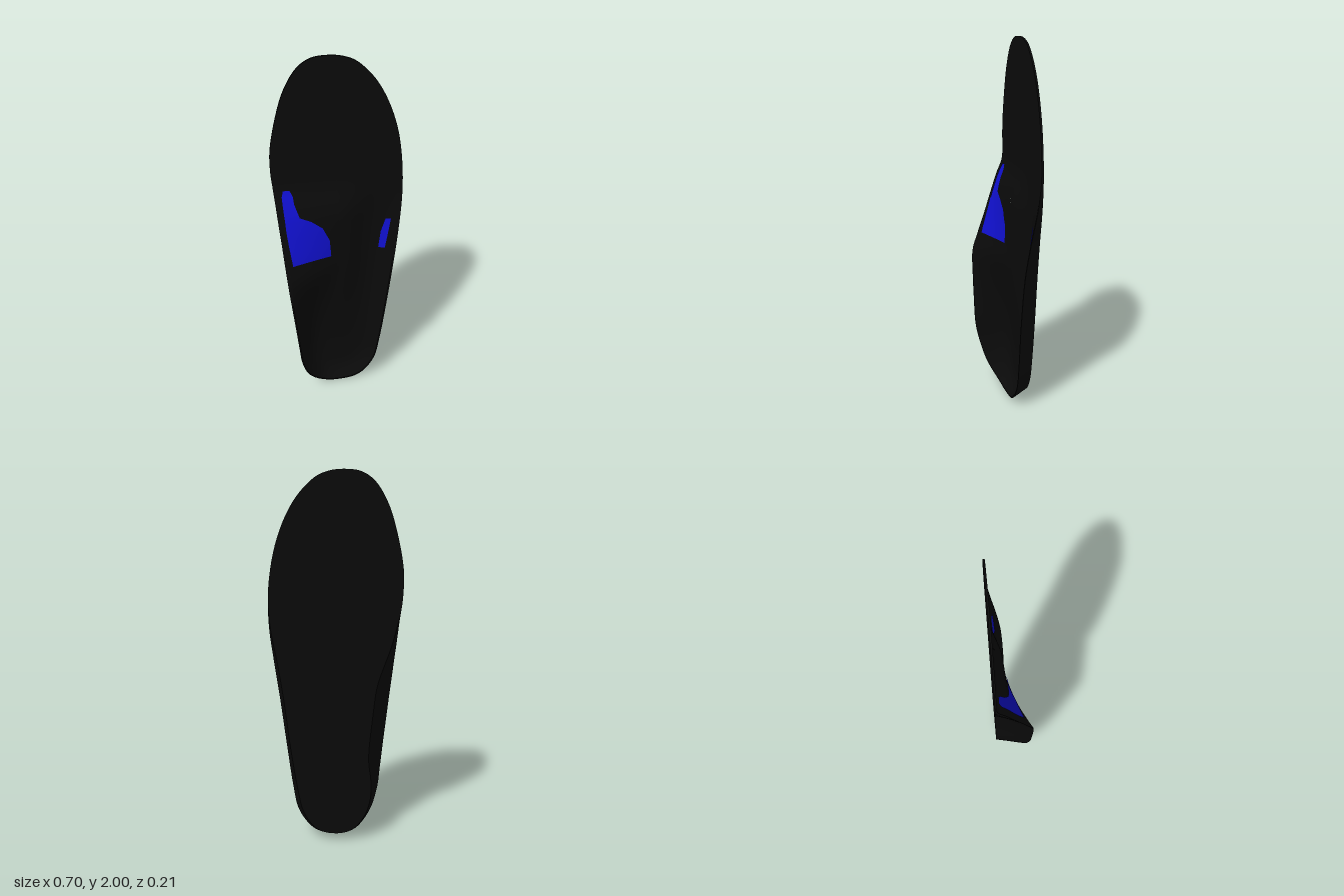
import * as THREE from 'three';
import { toCreasedNormals } from 'three/addons/utils/BufferGeometryUtils.js';

const { lerp, smoothstep, clamp } = THREE.MathUtils;
const BOTTOM = -0.105, SHEET = -0.095, LIP = 0.97;
const AROUND = 192, ACROSS = 18;

// Outline, counter-clockwise from the heel: x, y, rim height z, inset of the underside
const OUTLINE = [
  [0, 0, -0.02, 0.042], [0.12, 0.03, -0.02, 0.042], [0.205, 0.14, -0.02, 0.04], [0.238, 0.29, -0.02, 0.035],
  [0.27, 0.53, -0.02, 0.03], [0.303, 0.8, -0.028, 0.03], [0.328, 1.0, -0.05, 0.025], [0.348, 1.2, -0.08, 0.01],
  [0.346, 1.38, SHEET, 0], [0.32, 1.57, SHEET, 0], [0.27, 1.73, SHEET, 0], [0.2, 1.86, SHEET, 0],
  [0.11, 1.955, SHEET, 0], [0.03, 1.992, SHEET, 0], [-0.06, 2, SHEET, 0], [-0.14, 1.985, SHEET, 0],
  [-0.21, 1.93, SHEET, 0], [-0.272, 1.82, SHEET, 0], [-0.315, 1.68, SHEET, 0], [-0.345, 1.53, SHEET, 0],
  [-0.35, 1.42, SHEET, 0], [-0.342, 1.31, -0.09, 0], [-0.333, 1.22, -0.053, 0.01], [-0.322, 1.1, -0.01, 0.03],
  [-0.312, 1.0, 0.025, 0.055], [-0.302, 0.89, 0.066, 0.08], [-0.289, 0.76, 0.104, 0.085], [-0.26, 0.5, 0.104, 0.08],
  [-0.244, 0.35, 0.1, 0.05], [-0.23, 0.24, 0.08, 0.04], [-0.19, 0.12, 0.045, 0.04], [-0.11, 0.028, -0.003, 0.042],
];

const spine = (p) => new THREE.Vector3(0, clamp(p.y, 0.25, 1.7), p.z);
const closed = (pts) => new THREE.CatmullRomCurve3(pts, true, 'catmullrom', 0.5);

const rimPoints = OUTLINE.map(([x, y, z]) => new THREE.Vector3(x, y, z));
const basePoints = rimPoints.map((p, i) => {
  const inward = spine(p).sub(p).setLength(OUTLINE[i][3]);
  return p.clone().add(inward).setZ(BOTTOM);
});
const sample = (curve) => Array.from({ length: AROUND + 1 }, (_, i) => curve.getPoint((i % AROUND) / AROUND));
const rim = sample(closed(rimPoints));
const base = sample(closed(basePoints));
rim.forEach((p) => { p.z = clamp(p.z, SHEET, 0.105); });

// Height of the footbed at a fraction s of the way from the middle to the rim
function bedHeight(s, x, y, rimZ) {
  const arch = smoothstep(y, 0.25, 0.85) * (1 - smoothstep(y, 1.13, 1.35));
  const low = lerp(-0.085, SHEET, smoothstep(y, 0.3, 1.3));
  const middle = lerp(low, -0.038, arch);
  if (x < 0) return lerp(middle, rimZ, Math.pow(s, lerp(5, 1.1, arch)));
  return lerp(lerp(middle, low, smoothstep(s, 0, 0.65)), rimZ, Math.pow(s, 5));
}

// Footbed height at any x, y along the straight middle of the sole
function bedAt(x, y) {
  for (let i = 0; i < AROUND; i++) {
    const a = rim[i], b = rim[i + 1];
    if (a.x * x <= 0 || (a.y - y) * (b.y - y) > 0 || a.y === b.y) continue;
    const edge = a.clone().lerp(b, (y - a.y) / (b.y - a.y));
    return bedHeight(Math.min(1, x / (edge.x * LIP)), x, y, edge.z);
  }
  return SHEET;
}

// Mesh from a grid of points; i runs along, j across
function gridMesh(name, ni, nj, pointAt, color, side = THREE.FrontSide) {
  const pos = [], index = [];
  for (let i = 0; i <= ni; i++)
    for (let j = 0; j <= nj; j++) pos.push(...pointAt(i, j).toArray());
  for (let i = 0; i < ni; i++)
    for (let j = 0; j < nj; j++) {
      const a = i * (nj + 1) + j, b = a + nj + 1;
      index.push(a, a + 1, b + 1, a, b + 1, b);
    }
  let geo = new THREE.BufferGeometry();
  geo.setAttribute('position', new THREE.Float32BufferAttribute(pos, 3));
  geo.setIndex(index);
  geo = toCreasedNormals(geo, 0.7);
  const mesh = new THREE.Mesh(geo, new THREE.MeshStandardMaterial({ color, side }));
  mesh.name = name;
  return mesh;
}

// Section of the sole: footbed out to the lip, rim, outer wall, underside back to the middle
function solePoint(i, j) {
  const r = rim[i];
  if (j <= ACROSS) {
    const s = j / ACROSS;
    const p = spine(r).lerp(r, s * LIP);
    return p.setZ(bedHeight(s, r.x, p.y, r.z));
  }
  if (j === ACROSS + 1) return r.clone();
  if (j <= ACROSS + 4) return r.clone().lerp(base[i], (j - ACROSS - 1) / 3);
  return spine(r).setZ(BOTTOM);
}

// Coloured pad laid on the footbed; rows are y, inner and outer x
function padMesh(name, rows) {
  const steps = 5, columns = 14;
  return gridMesh(name, (rows.length - 1) * steps, columns, (i, j) => {
    const k = Math.min(Math.floor(i / steps), rows.length - 2);
    const [y, x0, x1] = rows[k].map((v, n) => lerp(v, rows[k + 1][n], i / steps - k));
    const x = lerp(x0, x1, j / columns);
    return new THREE.Vector3(x, y, bedAt(x, y) + 0.004);
  }, 0x1010cc, THREE.DoubleSide);
}

export function createModel() {
  const group = new THREE.Group();
  group.name = 'insole';
  group.add(gridMesh('sole', AROUND, ACROSS + 5, solePoint, 0x0a0a0a));
  group.add(padMesh('archPad', [
    [0.9, -0.26, -0.045], [1.0, -0.275, -0.052], [1.08, -0.285, -0.09], [1.125, -0.288, -0.15],
    [1.15, -0.29, -0.21], [1.22, -0.296, -0.235], [1.26, -0.298, -0.24], [1.29, -0.29, -0.255],
  ]));
  group.add(padMesh('outerPad', [[0.9, 0.225, 0.26], [1.0, 0.237, 0.277], [1.08, 0.262, 0.29]]));
  return group;
}
